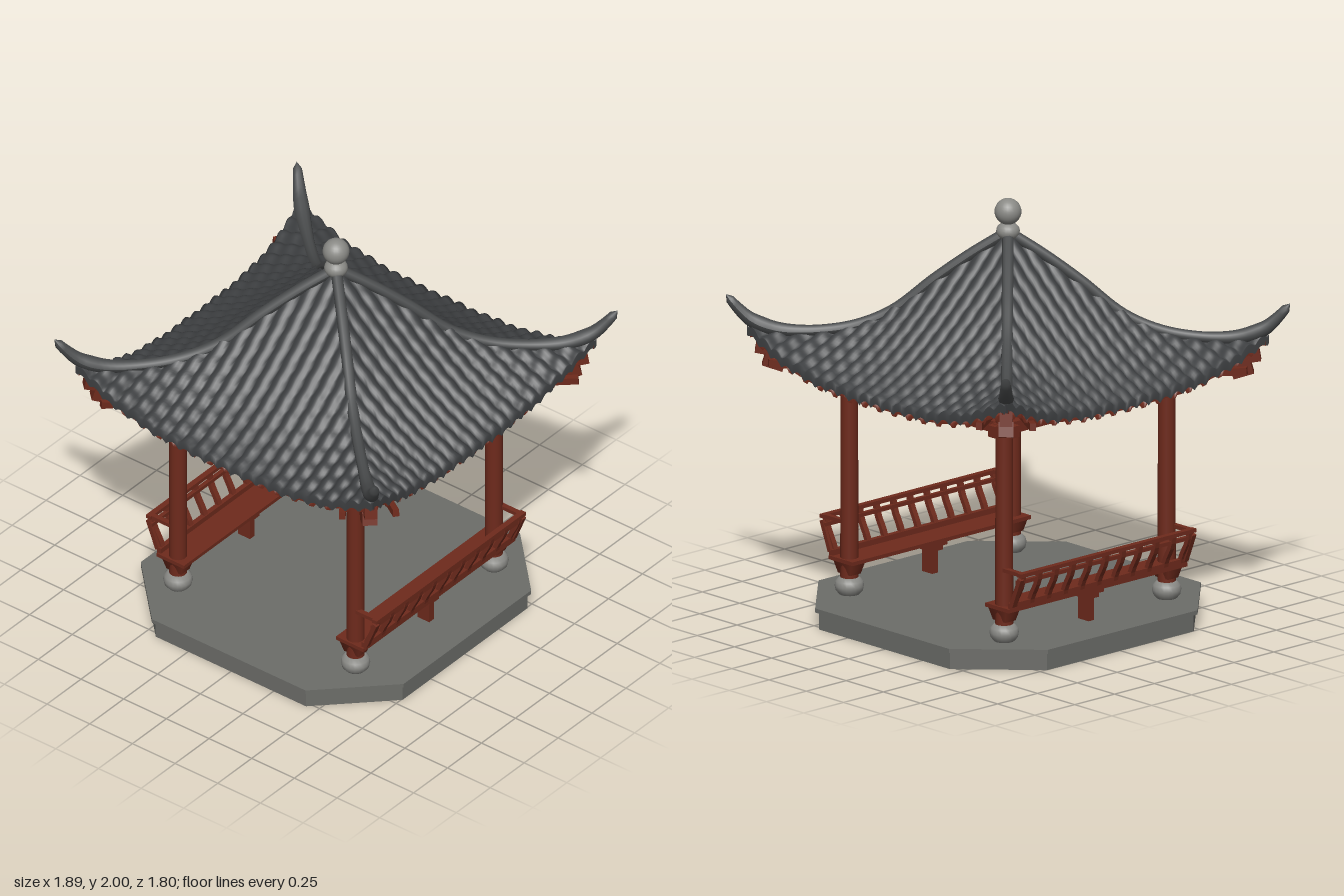
import * as THREE from 'three';

const mat = (color) => new THREE.MeshStandardMaterial({ color, roughness: 0.9, side: THREE.DoubleSide });
const RED = mat(0x6e2a1c), TILE = mat(0x3e4042), RIDGE = mat(0x4a4c4d), STONE = mat(0x6c6d69), PALE = mat(0x8a8a86);

function add(parent, name, geometry, material, x = 0, y = 0, z = 0) {
  const mesh = new THREE.Mesh(geometry, material);
  mesh.name = name;
  mesh.position.set(x, y, z);
  parent.add(mesh);
  return mesh;
}
const box = (parent, name, w, h, d, x, y, z, material = RED) =>
  add(parent, name, new THREE.BoxGeometry(w, h, d), material, x, y, z);

// Roof height: one curve down the middle of a side, one down the hips
const R = 0.87;
const curve = (ys) => new THREE.SplineCurve(ys.map((y, i) => new THREE.Vector2(i, y)));
const midCurve = curve([1.82, 1.69, 1.56, 1.44, 1.335, 1.255, 1.2]);
const hipCurve = curve([1.82, 1.70, 1.56, 1.425, 1.355, 1.34, 1.37]);
function roofHeight(u, d) {
  const t = Math.min(d / R, 1);
  const mid = midCurve.getPoint(t).y, hip = hipCurve.getPoint(t).y;
  return mid + (hip - mid) * Math.pow(d > 0 ? Math.min(Math.abs(u) / d, 1) : 0, 3);
}

// One side of the roof as a ribbed sheet, with the last row turned down as an edge
function roofSheet({ eave, inner = 0, lift = 0, drop, rib, ripple = 0, cols, rows }) {
  const pos = [], index = [];
  for (let i = 0; i <= cols; i++) {
    const u = -R + (2 * R * i) / cols;
    const end = eave(u), start = Math.min(Math.max(Math.abs(u), inner), end);
    for (let j = 0; j <= rows + 1; j++) {
      const d = start + (end - start) * Math.min(j / rows, 1);
      const wobble = ripple * Math.sin(d * 75 + Math.round(u / 0.075) * 1.9);
      const y = roofHeight(u, d) + lift + rib(u) + wobble - (j > rows ? drop : 0);
      pos.push(u, y, d);
      if (i < cols && j <= rows) {
        const a = i * (rows + 2) + j, b = a + rows + 2;
        index.push(a, a + 1, b, b, a + 1, b + 1);
      }
    }
  }
  const g = new THREE.BufferGeometry();
  g.setAttribute('position', new THREE.Float32BufferAttribute(pos, 3));
  g.setIndex(index);
  g.computeVertexNormals();
  return g;
}

// Upswept hip ridge, thicker near the corner and narrowing to a horn
function hipRidge() {
  const pts = [[0, 1.84], [0.12, 1.735], [0.243, 1.612], [0.386, 1.455], [0.52, 1.378], [0.68, 1.35],
    [0.78, 1.36], [0.855, 1.40], [0.9, 1.455], [0.94, 1.52]];
  const path = new THREE.CatmullRomCurve3(pts.map(([d, y]) => new THREE.Vector3(0, y, d * Math.SQRT2)));
  const n = 48, sides = 10;
  const g = new THREE.TubeGeometry(path, n, 0.027, sides);
  const p = g.attributes.position, v = new THREE.Vector3();
  for (let i = 0; i <= n; i++) {
    const t = i / n, c = path.getPointAt(t);
    const k = i === n ? 0 : t < 0.7 ? 1 : t < 0.86 ? 1 + (t - 0.7) * 2.5 : 1.4 - (t - 0.86) * 5;
    for (let j = 0; j <= sides; j++) {
      const q = i * (sides + 1) + j;
      v.fromBufferAttribute(p, q).sub(c).multiplyScalar(k).add(c);
      p.setXYZ(q, v.x, v.y, v.z);
    }
  }
  g.computeVertexNormals();
  return g;
}

function makeRoof() {
  const roof = new THREE.Group();
  roof.name = 'roof';
  const ridgeGeo = hipRidge();
  for (let k = 0; k < 4; k++) {
    const side = new THREE.Group();
    side.name = 'roofSide';
    side.rotation.y = (k * Math.PI) / 2;
    roof.add(side);
    const eave = (u) => (k % 2 ? 0.83 + 0.04 * Math.pow(u / R, 4) : R);
    // Rounded tile rows
    const tileRib = (u) => 0.024 * Math.abs(Math.cos((u / 0.075) * Math.PI)) - 0.006;
    add(side, 'roofTiles', roofSheet({ eave, drop: 0.04, rib: tileRib, ripple: 0.004, cols: 184, rows: 30 }), TILE);
    // Red soffit with rafters
    const rafterRib = (u) => (Math.cos((u / 0.1) * Math.PI * 2) > 0.3 ? -0.016 : 0);
    add(side, 'soffit', roofSheet({ eave: (u) => eave(u) - 0.02, inner: 0.56, lift: -0.028, drop: 0.02,
      rib: rafterRib, cols: 140, rows: 8 }), RED);

    // Hip ridge, hip rafter and its bracket
    const corner = new THREE.Group();
    corner.name = 'roofCorner';
    corner.rotation.y = Math.PI / 4 + (k * Math.PI) / 2;
    roof.add(corner);
    add(corner, 'hipRidge', ridgeGeo, RIDGE);
    box(corner, 'hipRafter', 0.06, 0.075, 0.5, 0, 1.245, 0.94).rotation.x = -0.17;
    box(corner, 'rafterEnd', 0.07, 0.07, 0.1, 0, 1.21, 1.1).rotation.x = -0.3;
    for (const s of [-1, 1]) {
      const fan = box(corner, 'cornerRafter', 0.03, 0.035, 0.34, s * 0.1, 1.215, 0.96);
      fan.rotation.set(-0.1, s * 0.16, 0);
    }
  }
  roof.scale.z = 0.95;
  return roof;
}

// Bench with a leaning railing, along the +x side
function makeBench() {
  const bench = new THREE.Group();
  bench.name = 'bench';
  box(bench, 'seat', 0.16, 0.018, 1.12, 0.525, 0.267, 0);
  box(bench, 'bottomRail', 0.025, 0.035, 1.1, 0.6, 0.285, 0);
  box(bench, 'middleRail', 0.02, 0.018, 1.1, 0.65, 0.412, 0);
  box(bench, 'topRail', 0.028, 0.018, 1.1, 0.662, 0.448, 0);
  // Curved balusters
  const s = new THREE.Shape();
  s.moveTo(0.588, 0.27);
  s.bezierCurveTo(0.59, 0.34, 0.645, 0.37, 0.65, 0.445);
  s.lineTo(0.67, 0.445);
  s.bezierCurveTo(0.665, 0.36, 0.615, 0.34, 0.61, 0.27);
  s.closePath();
  const baluster = new THREE.ExtrudeGeometry(s, { depth: 0.026, bevelEnabled: false, curveSegments: 6 });
  baluster.translate(0, 0, -0.013);
  for (let i = 0; i <= 10; i++) add(bench, 'baluster', baluster, RED, 0, 0, -0.525 + i * 0.105);
  for (const z of [-1, 1]) {
    box(bench, 'armRail', 0.14, 0.018, 0.025, 0.605, 0.448, z * 0.53);
    box(bench, 'endPost', 0.022, 0.15, 0.025, 0.637, 0.36, z * 0.54).rotation.z = -0.38;
    // Seat bracket on the column
    const b = add(bench, 'seatBracket', new THREE.CylinderGeometry(0.085, 0.06, 0.06, 4, 1, false, Math.PI / 4), RED,
      0.52, 0.23, z * 0.51);
    b.scale.z = 0.75;
  }
  // Middle leg with a stepped head
  box(bench, 'leg', 0.07, 0.16, 0.035, 0.525, 0.18, 0);
  box(bench, 'legHead', 0.12, 0.025, 0.11, 0.525, 0.248, 0);
  box(bench, 'legHead', 0.1, 0.025, 0.07, 0.525, 0.225, 0);
  return bench;
}

// Octagonal slab
function octagon(x, z, c, h) {
  const s = new THREE.Shape([[x, z - c], [x - c, z], [c - x, z], [-x, z - c], [-x, c - z], [c - x, -z], [x - c, -z],
    [x, c - z]].map(([a, b]) => new THREE.Vector2(a, b)));
  return new THREE.ExtrudeGeometry(s, { depth: h, bevelEnabled: false }).rotateX(-Math.PI / 2);
}

export function createModel() {
  const model = new THREE.Group();
  model.name = 'pavilion';
  add(model, 'plinth', octagon(0.755, 0.775, 0.315, 0.082), STONE);
  add(model, 'plinthTop', octagon(0.77, 0.79, 0.32, 0.02), STONE, 0, 0.082, 0);

  // Columns on rounded stone feet
  const footGeo = new THREE.LatheGeometry([[0, 0], [0.045, 0], [0.063, 0.02], [0.068, 0.043], [0.063, 0.065],
    [0.045, 0.083], [0, 0.083]].map(([r, y]) => new THREE.Vector2(r, y)), 20);
  for (const x of [-0.52, 0.52]) for (const z of [-0.51, 0.51]) {
    add(model, 'columnFoot', footGeo, PALE, x, 0.1, z);
    add(model, 'column', new THREE.CylinderGeometry(0.04, 0.042, 1.12, 16), RED, x, 0.73, z);
    box(model, 'columnBlock', 0.055, 0.06, 0.105, x, 1.115, z);
  }

  // Two tiers of crossing beams
  for (const s of [-1, 1]) {
    box(model, 'lowerBeam', 1.2, 0.055, 0.045, 0, 1.115, s * 0.51);
    box(model, 'lowerBeam', 0.045, 0.055, 1.18, s * 0.52, 1.115, 0);
    box(model, 'upperBeam', 1.16, 0.07, 0.055, 0, 1.225, s * 0.51);
    box(model, 'upperBeam', 0.055, 0.07, 1.14, s * 0.52, 1.225, 0);
    const bench = makeBench();
    bench.rotation.y = s > 0 ? 0 : Math.PI;
    model.add(bench);
  }

  model.add(makeRoof());

  // Finial: collar and ball
  add(model, 'finialCollar', new THREE.SphereGeometry(0.055, 20, 12), PALE, 0, 1.845, 0).scale.y = 0.8;
  add(model, 'finialBall', new THREE.SphereGeometry(0.062, 24, 16), PALE, 0, 1.938, 0);
  return model;
}
